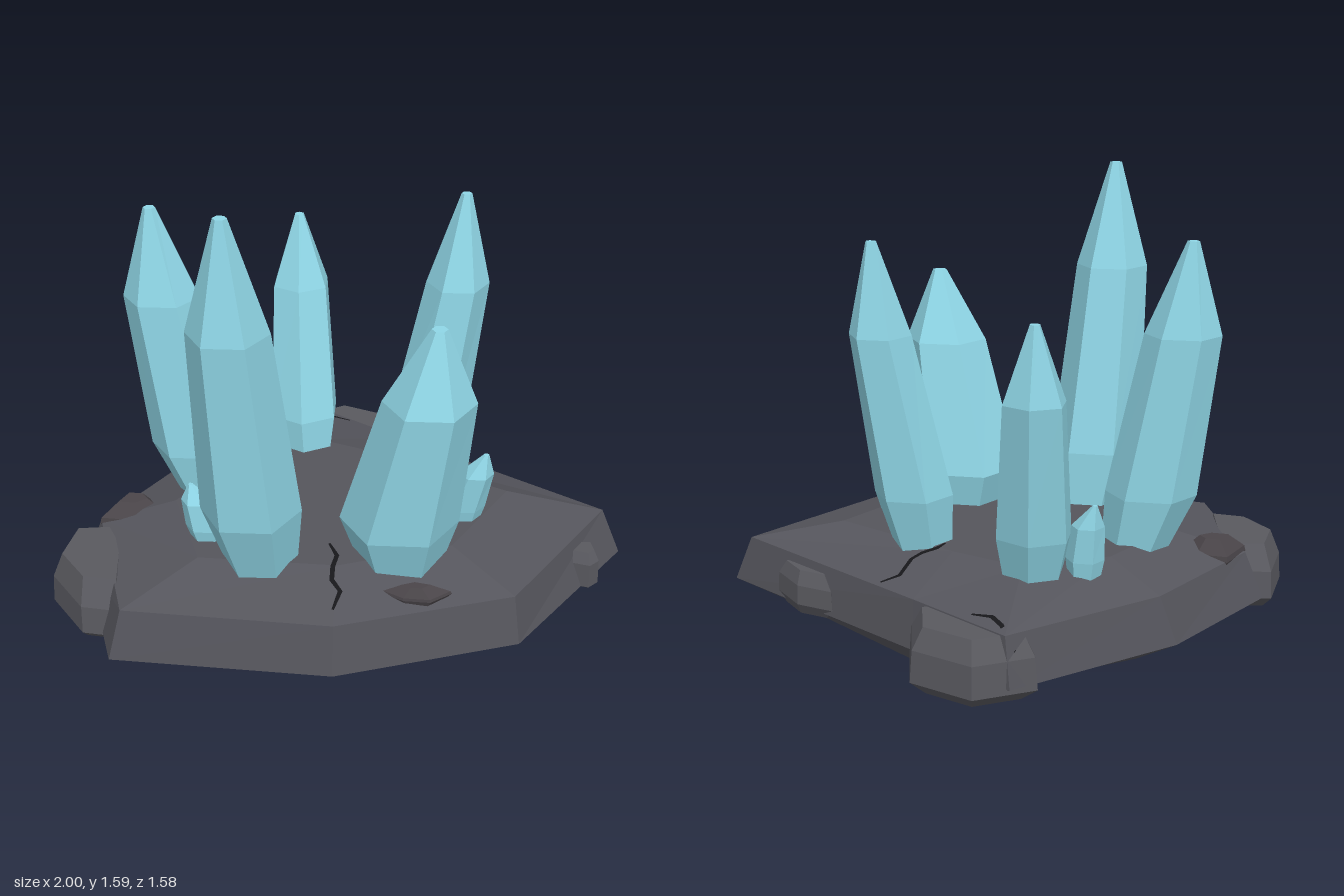
import * as THREE from 'three';

const stone = new THREE.MeshStandardMaterial({ color: 0x55555c, flatShading: true });
const boulderStone = new THREE.MeshStandardMaterial({ color: 0x59595f, flatShading: true });
const darkStone = new THREE.MeshStandardMaterial({ color: 0x4a4549, flatShading: true });
const ice = new THREE.MeshStandardMaterial({ color: 0x8fd6e6, flatShading: true });
const crackDark = new THREE.MeshStandardMaterial({ color: 0x17171a, side: THREE.DoubleSide });

// Closed faceted solid through rings of [x, y, z], bottom to top
function loft(rings) {
  const out = [];
  const tri = (a, b, c) => out.push(...a, ...b, ...c);
  const middle = (r) => [0, 1, 2].map((k) => r.reduce((s, p) => s + p[k], 0) / r.length);
  const n = rings[0].length;
  const first = rings[0], last = rings[rings.length - 1];
  for (let i = 0; i < n; i++) {
    const j = (i + 1) % n;
    for (let k = 0; k + 1 < rings.length; k++) {
      const lo = rings[k], hi = rings[k + 1];
      tri(lo[j], lo[i], hi[i]);
      tri(lo[j], hi[i], hi[j]);
    }
    tri(middle(first), first[i], first[j]);
    tri(middle(last), last[j], last[i]);
  }
  const geo = new THREE.BufferGeometry();
  geo.setAttribute('position', new THREE.Float32BufferAttribute(out, 3));
  geo.computeVertexNormals();
  return geo;
}

const atHeight = (points, y) => points.map(([x, z]) => [x, y, z]);

// Outline scaled about its own middle
function scaled(points, s) {
  const cx = points.reduce((a, p) => a + p[0], 0) / points.length;
  const cz = points.reduce((a, p) => a + p[1], 0) / points.length;
  return points.map(([x, z]) => [cx + (x - cx) * s, cz + (z - cz) * s]);
}

// Regular hexagon stretched to rx and rz
function hexagon(x, y, z, rx, rz, turn) {
  return Array.from({ length: 6 }, (_, i) => {
    const a = (i * Math.PI) / 3 + turn;
    return [x + Math.cos(a) * rx, y, z + Math.sin(a) * rz];
  });
}

// Leaning crystal: narrow foot, wide belly, shoulder, small blunt tip
function crystal(foot, belly, shoulder, tip, turn = 0) {
  const [bx, by, bz, rx, rz] = belly;
  const [tx, ty, tz] = tip;
  const t = rx * 0.13;
  return loft([
    hexagon(foot[0], foot[1], foot[2], rx * 0.72, rz * 0.72, turn),
    hexagon(bx, by, bz, rx, rz, turn),
    hexagon(...shoulder, turn),
    hexagon(tx, ty, tz, t, t, turn),
  ]);
}

export function createModel() {
  const group = new THREE.Group();
  const add = (name, geo, mat) => {
    const mesh = new THREE.Mesh(geo, mat);
    mesh.name = name;
    group.add(mesh);
    return mesh;
  };

  // Rock slab
  const under = [[-0.1, -0.56], [0.2, -0.42], [0.77, 0], [0.47, 0.44],
    [0, 0.59], [-0.6, 0.57], [-0.74, 0.16], [-0.52, -0.26]];
  const rim = [[-0.17, -0.74], [0.2, -0.5], [1, 0.01], [0.61, 0.58],
    [0, 0.785], [-0.74, 0.74], [-0.94, 0.17], [-0.66, -0.3]];
  const edge = [[-0.15, -0.71], [0.2, -0.475], [0.93, 0], [0.59, 0.55],
    [0, 0.745], [-0.7, 0.7], [-0.87, 0.17], [-0.6, -0.3]];
  const plateau = [[-0.14, -0.32], [0.12, -0.22], [0.58, 0.02], [0.38, 0.38],
    [0, 0.52], [-0.47, 0.5], [-0.6, 0.15], [-0.42, -0.17]];
  const slab = add('rockBase', loft([
    atHeight(under, 0), atHeight(rim, 0.08), atHeight(edge, 0.25), atHeight(plateau, 0.33),
  ]), stone);

  // Boulders: outline, lowest, widest (two heights) and top level, top scale
  const boulders = [
    ['leftBoulder', [[-0.97, 0.19], [-0.82, 0.17], [-0.74, 0.32], [-0.7, 0.61], [-0.86, 0.59], [-1, 0.41]],
      0.02, 0.07, 0.17, 0.26, 0.72, boulderStone],
    ['backBoulder', [[-0.25, -0.68], [-0.06, -0.79], [0.16, -0.7], [0.21, -0.5], [0.02, -0.38], [-0.2, -0.5]],
      0.015, 0.06, 0.17, 0.245, 0.78, boulderStone],
    ['rightBackRock', [[0.54, -0.28], [0.68, -0.24], [0.79, -0.12], [0.72, -0.04], [0.58, -0.1]],
      0.06, 0.1, 0.17, 0.22, 0.7, boulderStone],
    ['rightRock', [[0.82, 0.13], [0.89, 0.13], [0.905, 0.21], [0.87, 0.245], [0.78, 0.22]],
      0.07, 0.08, 0.17, 0.21, 0.6, boulderStone],
    ['frontPebble', [[0.15, 0.59], [0.25, 0.55], [0.38, 0.58], [0.31, 0.635], [0.22, 0.63]],
      0.25, 0.275, 0.285, 0.315, 0.4, darkStone],
    ['leftPebble', [[-0.81, 0.05], [-0.7, 0.06], [-0.65, 0.13], [-0.74, 0.2], [-0.87, 0.19]],
      0.2, 0.25, 0.27, 0.32, 0.45, darkStone],
  ];
  for (const [name, outline, y0, y1, y2, y3, top, mat] of boulders) {
    add(name, loft([
      atHeight(scaled(outline, 0.75), y0), atHeight(outline, y1),
      atHeight(scaled(outline, 0.96), y2), atHeight(scaled(outline, top), y3),
    ]), mat);
  }

  // Large crystals: foot, belly, shoulder, tip
  add('tallCrystal', crystal([-0.26, 0.29, 0.46], [-0.285, 0.53, 0.5, 0.168, 0.17],
    [-0.325, 1.21, 0.59, 0.132, 0.13], [-0.33, 1.59, 0.62]), ice);
  add('leftCrystal', crystal([-0.48, 0.29, 0.03], [-0.535, 0.5, 0.03, 0.16, 0.13],
    [-0.63, 1.07, 0.025, 0.132, 0.11], [-0.655, 1.39, 0.02]), ice);
  add('rightBackCrystal', crystal([0.25, 0.28, -0.1], [0.28, 0.5, -0.12, 0.14, 0.13],
    [0.38, 1.07, -0.155, 0.11, 0.115], [0.4, 1.39, -0.175]), ice);
  add('frontRightCrystal', crystal([0.205, 0.28, 0.4], [0.2, 0.45, 0.41, 0.2, 0.19],
    [0.29, 0.93, 0.475, 0.152, 0.15], [0.315, 1.19, 0.485]), ice);
  add('backCrystal', crystal([-0.17, 0.25, -0.3], [-0.18, 0.45, -0.335, 0.135, 0.125],
    [-0.195, 0.93, -0.44, 0.11, 0.1], [-0.2, 1.19, -0.47], Math.PI / 6), ice);

  // Small crystals
  add('smallRightCrystal', crystal([0.41, 0.27, 0.18], [0.42, 0.37, 0.185, 0.075, 0.06],
    [0.46, 0.51, 0.2, 0.06, 0.055], [0.49, 0.59, 0.21]), ice);
  add('smallLeftCrystal', crystal([-0.45, 0.29, 0.36], [-0.46, 0.37, 0.36, 0.07, 0.06],
    [-0.485, 0.47, 0.36, 0.056, 0.052], [-0.505, 0.53, 0.36]), ice);
  add('smallBackCrystal', crystal([-0.34, 0.24, -0.28], [-0.345, 0.36, -0.285, 0.066, 0.06],
    [-0.355, 0.48, -0.295, 0.056, 0.055], [-0.38, 0.56, -0.32]), ice);

  // Cracks: thin ribbons draped over the slab
  slab.updateMatrixWorld();
  const ray = new THREE.Raycaster();
  const onTop = (x, z) => {
    ray.set(new THREE.Vector3(x, 2, z), new THREE.Vector3(0, -1, 0));
    const hit = ray.intersectObject(slab)[0];
    return [x, (hit ? hit.point.y : 0.25) + 0.006, z];
  };
  const cracks = [
    ['frontCrack', [[-0.035, 0.4], [-0.005, 0.47], [-0.015, 0.53], [-0.015, 0.58], [0.015, 0.62], [-0.005, 0.69]]],
    ['rightCrack', [[0.34, -0.37], [0.28, -0.34], [0.26, -0.25], [0.23, -0.22], [0.18, -0.2], [0.16, -0.16]]],
    ['backCrack', [[-0.18, -0.7], [-0.13, -0.66], [-0.09, -0.61], [-0.02, -0.59]]],
  ];
  for (const [name, path] of cracks) {
    const pos = [], index = [];
    path.forEach(([x, z], i) => {
      const a = path[Math.max(i - 1, 0)], b = path[Math.min(i + 1, path.length - 1)];
      const len = Math.hypot(b[0] - a[0], b[1] - a[1]);
      const w = i === 0 || i === path.length - 1 ? 0.004 : 0.008;
      const nx = (-(b[1] - a[1]) / len) * w, nz = ((b[0] - a[0]) / len) * w;
      pos.push(...onTop(x + nx, z + nz), ...onTop(x - nx, z - nz));
      if (i) index.push(2 * i - 2, 2 * i, 2 * i - 1, 2 * i - 1, 2 * i, 2 * i + 1);
    });
    const geo = new THREE.BufferGeometry();
    geo.setAttribute('position', new THREE.Float32BufferAttribute(pos, 3));
    geo.setIndex(index);
    geo.computeVertexNormals();
    add(name, geo, crackDark);
  }
  return group;
}
